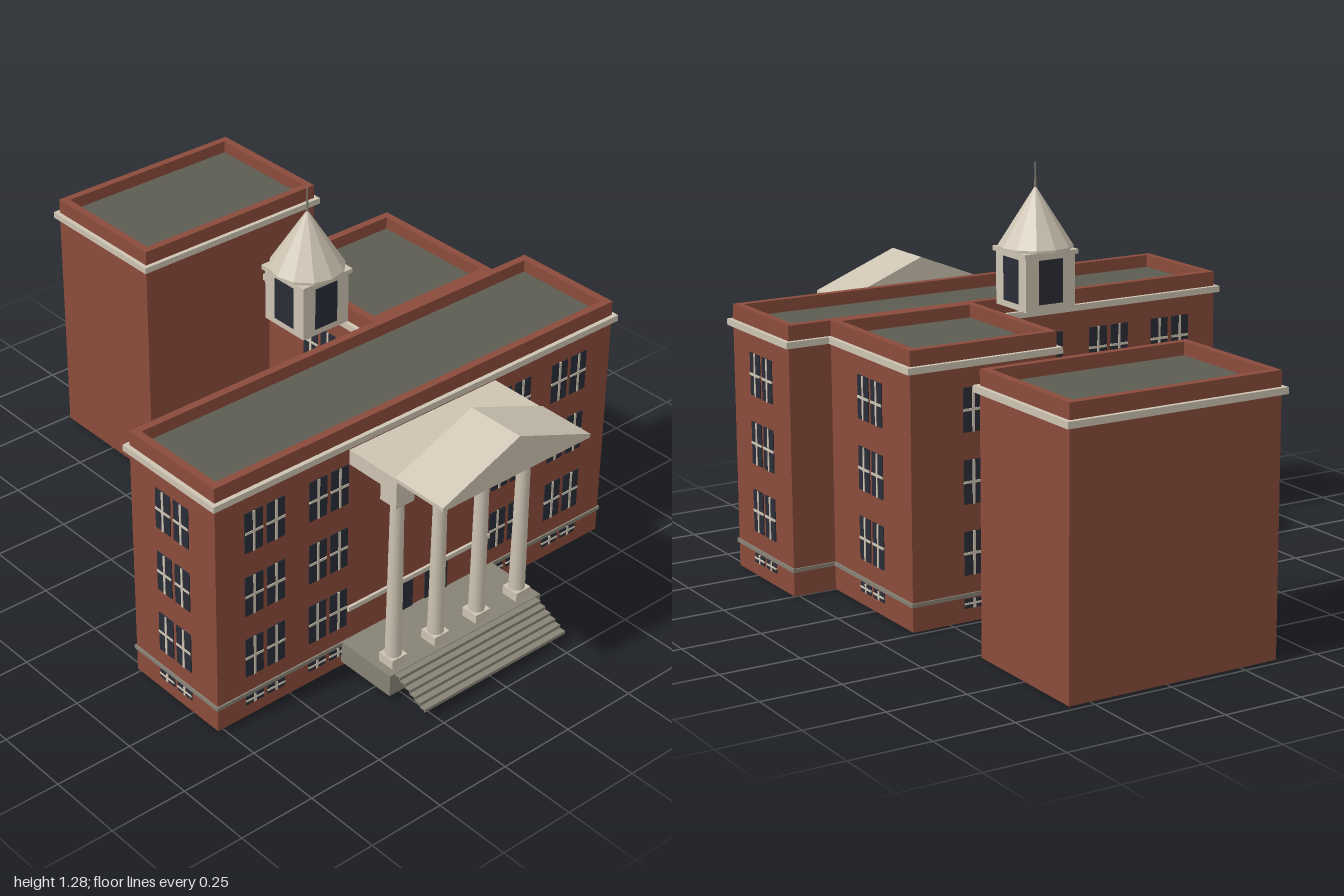
import * as THREE from 'three';

const mat = (name, color, opts = {}) => {
  const m = new THREE.MeshStandardMaterial({ color, ...opts });
  m.name = name;
  return m;
};

export function createModel() {
  const root = new THREE.Group();
  root.name = 'courthouse';
  const brick = mat('red brick', 0x8a4b3b);
  const cream = mat('cream trim', 0xcdc3b2);
  const facet = mat('cream faceted', 0xcdc3b2, { flatShading: true });
  const stone = mat('grey stone', 0x878275);
  const roofing = mat('dark roofing', 0x5c5c52);
  const glass = mat('dark glass', 0x2a2d37);

  const add = (parent, name, geo, m, x = 0, y = 0, z = 0) => {
    const mesh = new THREE.Mesh(geo, m);
    mesh.name = name;
    mesh.position.set(x, y, z);
    parent.add(mesh);
    return mesh;
  };
  // Box given by its limits on each axis
  const box = (parent, name, m, x0, x1, y0, y1, z0, z1) =>
    add(parent, name, new THREE.BoxGeometry(x1 - x0, y1 - y0, z1 - z0), m,
      (x0 + x1) / 2, (y0 + y1) / 2, (z0 + z1) / 2);

  // Rectangular ring lying flat, from y0 to y1
  const ring = (parent, name, m, x0, x1, z0, z1, inset, y0, y1) => {
    const rect = (P, i) => new P([[x0 + i, -z1 + i], [x1 - i, -z1 + i], [x1 - i, -z0 - i], [x0 + i, -z0 - i]]
      .map(([a, b]) => new THREE.Vector2(a, b)));
    const shape = rect(THREE.Shape, 0);
    shape.holes.push(rect(THREE.Path, inset));
    const geo = new THREE.ExtrudeGeometry(shape, { depth: y1 - y0, bevelEnabled: false });
    geo.rotateX(-Math.PI / 2);
    add(parent, name, geo, m, 0, y0, 0);
  };

  // Brick block with parapet, sunken roof, cornice and optional belt course
  const block = (name, x0, x1, z0, z1, belt) => {
    const g = new THREE.Group();
    g.name = name;
    root.add(g);
    box(g, 'walls', brick, x0, x1, 0.004, 0.795, z0, z1);
    ring(g, 'parapet', brick, x0, x1, z0, z1, 0.025, 0.795, 0.84);
    box(g, 'flatRoof', roofing, x0 + 0.025, x1 - 0.025, 0.795, 0.8, z0 + 0.025, z1 - 0.025);
    ring(g, 'cornice', cream, x0 - 0.014, x1 + 0.014, z0 - 0.014, z1 + 0.014, 0.016, 0.773, 0.793);
    if (belt) ring(g, 'beltCourse', stone, x0 - 0.005, x1 + 0.005, z0 - 0.005, z1 + 0.005, 0.007, 0.08, 0.092);
  };
  block('mainBlock', -0.77, 0.77, 0.24, 0.615, true);
  block('rearWing', 0.14, 0.63, -0.24, 0.24, true);
  block('rearBlock', -0.117, 0.573, -0.985, -0.53, false);

  // Vertical strip of paired windows on a wall, turned to face outward
  const windowBay = (x, z, turn) => {
    const g = new THREE.Group();
    g.name = 'windowBay';
    g.position.set(x, 0, z);
    g.rotation.y = turn;
    root.add(g);
    for (const [y0, y1] of [[0.046, 0.075], [0.147, 0.28], [0.362, 0.495], [0.578, 0.711]]) {
      const mid = (y0 + y1) / 2, t = y1 - y0 < 0.05 ? 0.003 : 0.004;
      for (const s of [-1, 1]) {
        const c = s * 0.04;
        box(g, 'windowGlass', glass, c - 0.0325, c + 0.0325, y0, y1, -0.002, 0.003);
        box(g, 'verticalBar', cream, c - 0.004, c + 0.004, y0, y1, -0.001, 0.005);
        box(g, 'crossBar', cream, c - 0.0325, c + 0.0325, mid - t, mid + t, -0.001, 0.005);
      }
    }
  };
  const H = Math.PI / 2;
  for (const x of [-0.595, -0.36, 0.36, 0.595]) windowBay(x, 0.615, 0);
  for (const x of [-0.595, -0.36, -0.115]) windowBay(x, 0.24, Math.PI);
  windowBay(0.385, -0.24, Math.PI);
  for (const s of [-1, 1]) windowBay(s * 0.77, 0.427, s * H);
  windowBay(0.63, 0, H);
  windowBay(0.14, 0, -H);

  // Portico: platform, steps, columns, slab and gabled roof
  const portico = new THREE.Group();
  portico.name = 'portico';
  root.add(portico);
  box(portico, 'platform', stone, -0.305, 0.305, 0.02, 0.092, 0.615, 0.828);
  box(portico, 'platformFooting', stone, -0.305, 0.305, 0, 0.02, 0.565, 0.612);
  const steps = 6, run = 0.128 / steps, rise = 0.062 / steps;
  for (let i = 0; i < steps; i++) {
    const z = 0.828 + i * run, y = 0.09 - i * rise;
    box(portico, 'stepTread', stone, -0.285, 0.285, y - 0.005, y, z, z + run);
    box(portico, 'stepRiser', stone, -0.285, 0.285, y - rise, y, z + run - 0.004, z + run);
  }
  for (const x of [-0.25, -0.083, 0.083, 0.25]) {
    box(portico, 'columnPlinth', cream, x - 0.029, x + 0.029, 0.092, 0.122, 0.751, 0.809);
    add(portico, 'columnShaft', new THREE.CylinderGeometry(0.02, 0.025, 0.54, 16), cream, x, 0.392, 0.78);
    box(portico, 'columnCapital', cream, x - 0.034, x + 0.034, 0.66, 0.712, 0.746, 0.812);
  }
  box(portico, 'entablature', cream, -0.284, 0.284, 0.71, 0.758, 0.615, 0.812);
  const gable = new THREE.Shape([[-0.285, 0.75], [0.285, 0.75], [0.285, 0.762], [0, 0.875], [-0.285, 0.762]]
    .map(([a, b]) => new THREE.Vector2(a, b)));
  add(portico, 'gabledRoof', new THREE.ExtrudeGeometry(gable, { depth: 0.192, bevelEnabled: false }), cream, 0, 0, 0.806);

  // Entrance doors below a pale lintel band
  for (const s of [-1, 1]) {
    add(root, 'door', new THREE.BoxGeometry(0.09, 0.103, 0.006), glass, s * 0.07, 0.1435, 0.616);
  }
  box(root, 'doorLintel', cream, -0.285, 0.285, 0.196, 0.211, 0.61, 0.624);

  // Cupola with louvred openings, conical roof and spire
  const cupola = new THREE.Group();
  cupola.name = 'cupola';
  cupola.position.z = 0.1;
  root.add(cupola);
  box(cupola, 'cupolaBody', cream, -0.087, 0.087, 0.84, 1.01, -0.087, 0.087);
  box(cupola, 'cupolaCollar', cream, -0.095, 0.095, 1.006, 1.02, -0.095, 0.095);
  for (let i = 0; i < 4; i++) {
    const side = new THREE.Group();
    side.name = 'cupolaOpening';
    side.rotation.y = i * H;
    cupola.add(side);
    box(side, 'openingPanel', glass, -0.042, 0.042, 0.86, 0.996, 0.084, 0.089);
  }
  add(cupola, 'roofRim', new THREE.CylinderGeometry(0.115, 0.115, 0.008, 12), facet, 0, 1.024, 0);
  add(cupola, 'coneRoof', new THREE.ConeGeometry(0.115, 0.182, 12), facet, 0, 1.119, 0);
  add(cupola, 'spire', new THREE.CylinderGeometry(0.002, 0.004, 0.09, 8), stone, 0, 1.237, 0);

  return root;
}
